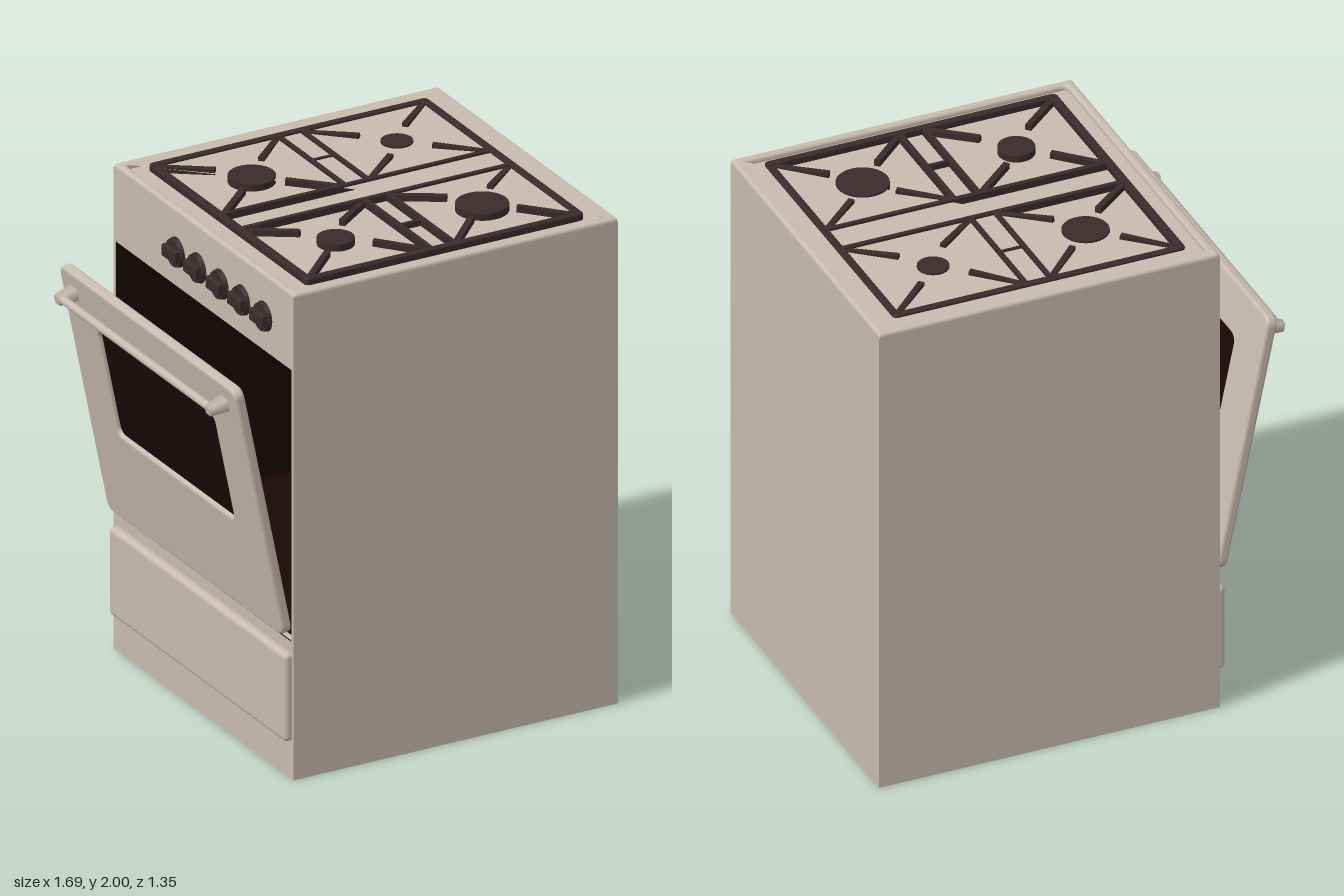
import * as THREE from 'three';
import { RoundedBoxGeometry } from 'three/addons/geometries/RoundedBoxGeometry.js';

const mat = (name, color) => {
  const m = new THREE.MeshStandardMaterial({ color });
  m.name = name;
  return m;
};

// Rounded rectangle centred on (cx, cy)
function roundRect(w, h, r, cx = 0, cy = 0, Type = THREE.Shape) {
  const s = new Type(), x = w / 2 - r, y = h / 2 - r;
  s.absarc(cx + x, cy + y, r, 0, Math.PI / 2);
  s.absarc(cx - x, cy + y, r, Math.PI / 2, Math.PI);
  s.absarc(cx - x, cy - y, r, Math.PI, Math.PI * 1.5);
  s.absarc(cx + x, cy - y, r, Math.PI * 1.5, Math.PI * 2);
  s.closePath();
  return s;
}

// Rounded plate of the given total thickness; the bevel stays inside the outline
function plate(shape, thick, bevel) {
  return new THREE.ExtrudeGeometry(shape, {
    depth: thick - 2 * bevel, bevelThickness: bevel, bevelSize: bevel,
    bevelOffset: -bevel, bevelSegments: 3, curveSegments: 6,
  }).translate(0, 0, bevel);
}

export function createModel() {
  const enamel = mat('beige enamel', 0xc8bbaf);
  const iron = mat('dark brown iron', 0x3a2a2c);
  const black = mat('oven black', 0x190707);
  const blackInside = mat('oven lining', 0x190707);
  blackInside.side = THREE.BackSide;

  const root = new THREE.Group();
  root.name = 'stove';
  const add = (parent, name, geo, m) => {
    const mesh = new THREE.Mesh(geo, m);
    mesh.name = name;
    parent.add(mesh);
    return mesh;
  };
  // Box given by its minimum and maximum corners
  const box = (parent, name, m, x0, x1, y0, y1, z0, z1) => {
    const b = add(parent, name, new THREE.BoxGeometry(x1 - x0, y1 - y0, z1 - z0), m);
    b.position.set((x0 + x1) / 2, (y0 + y1) / 2, (z0 + z1) / 2);
    return b;
  };

  // Cabinet, open towards -x at the oven
  const X0 = -0.54, X1 = 0.847, Z = 0.675, T = 0.015;
  const zi = Z - T;
  const cabinet = new THREE.Group();
  cabinet.name = 'cabinet';
  root.add(cabinet);
  for (const s of [-1, 1])
    box(cabinet, 'sidePanel', enamel, X0, X1, 0, 1.97, Math.min(s * zi, s * Z), Math.max(s * zi, s * Z));
  box(cabinet, 'backPanel', enamel, X1 - T, X1, 0, 1.97, -zi, zi);
  box(cabinet, 'controlPanel', enamel, X0, X0 + 0.03, 1.67, 1.97, -zi, zi);
  box(cabinet, 'lowerPanel', enamel, X0, X0 + 0.03, 0, 0.56, -zi, zi);
  box(cabinet, 'bottomPanel', enamel, X0 + 0.03, X1 - T, 0, T, -zi, zi);

  // Oven cavity: an inward-facing box without its front
  const cavity = new THREE.BoxGeometry(0.95, 1.11, 2 * zi - 0.002);
  cavity.setIndex(Array.from(cavity.index.array).filter((_, i) => i < 6 || i >= 12));
  cavity.clearGroups();
  add(cabinet, 'ovenCavity', cavity, blackInside).position.set(X0 + 0.475, 1.115, 0);

  // Cooktop rim and sunken tray
  const cx = (X0 + X1) / 2;
  const rim = roundRect(X1 - X0, 2 * Z, 0.012, cx);
  rim.holes.push(roundRect(X1 - X0 - 0.07, 2 * Z - 0.07, 0.02, cx, 0, THREE.Path));
  add(root, 'cooktopRim', plate(rim, 0.04, 0.012).rotateX(-Math.PI / 2), enamel).position.y = 1.943;
  box(root, 'cooktopTray', enamel, X0 + 0.01, X1 - 0.01, 1.94, 1.962, -Z + 0.01, Z - 0.01);

  // Pan supports
  const grate = new THREE.Group();
  grate.name = 'panSupports';
  root.add(grate);
  const gx = 0.155, gTop = 1.992, gLow = 1.964;
  const frame = roundRect(1.19, 1.19, 0.02, gx);
  frame.holes.push(roundRect(1.13, 1.13, 0.006, gx, 0, THREE.Path));
  add(grate, 'grateFrame', plate(frame, gTop - gLow, 0.004).rotateX(-Math.PI / 2), iron).position.y = gLow;
  for (const s of [-1, 1]) {
    const zc = s * 0.0725, zo = s * 0.57, [za, zb] = s < 0 ? [zo, zc] : [zc, zo];
    box(grate, 'grateLongBar', iron, gx - 0.57, gx + 0.57, gLow, gTop, zc - 0.01, zc + 0.01);
    for (const t of [-1, 1])
      box(grate, 'grateShortBar', iron, gx + t * 0.05 - 0.01, gx + t * 0.05 + 0.01, gLow, gTop, za, zb);
    box(grate, 'grateCrossBar', iron, gx - 0.04, gx + 0.04, gLow, gTop - 0.004, s * 0.33 - 0.007, s * 0.33 + 0.007);
    // Fingers run from each cell corner towards the burner, rising to the tip
    for (const t of [-1, 1])
      for (const [a, b, c, d] of [
        [0.565, 0.565, 0.405, 0.42], [0.06, 0.565, 0.21, 0.42],
        [0.565, 0.08, 0.405, 0.215], [0.06, 0.08, 0.225, 0.212],
      ]) {
        const p = new THREE.Vector3(gx + t * a, 1.975, s * b);
        const q = new THREE.Vector3(gx + t * c, 1.987, s * d);
        const finger = add(grate, 'grateFinger', new THREE.BoxGeometry(0.024, 0.024, p.distanceTo(q)), iron);
        finger.position.copy(p).lerp(q, 0.5);
        finger.lookAt(q);
      }
  }

  // Burners
  for (const [x, z, r] of [[-0.152, -0.32, 0.09], [0.468, -0.32, 0.061], [-0.155, 0.315, 0.071], [0.468, 0.32, 0.101]])
    add(root, 'burner', new THREE.CylinderGeometry(r, r, 0.03, 32), iron).position.set(x, 1.975, z);

  // Control knobs
  [-0.2, -0.04, 0.128, 0.29, 0.455].forEach((z) => {
    const knob = new THREE.Group();
    knob.name = 'knob';
    knob.position.set(X0, 1.81, z);
    root.add(knob);
    add(knob, 'knobBase', new THREE.CylinderGeometry(0.055, 0.06, 0.018, 24).rotateZ(Math.PI / 2), iron).position.x = -0.009;
    add(knob, 'knobGrip', new RoundedBoxGeometry(0.035, 0.05, 0.1, 2, 0.006), iron).position.x = -0.022;
  });

  // Drawer front
  add(root, 'drawerFront', new RoundedBoxGeometry(0.07, 0.36, 1.325, 3, 0.02), enamel).position.set(-0.536, 0.333, 0);

  // Oven door, hinged at the bottom and ajar
  const door = new THREE.Group();
  door.name = 'ovenDoor';
  door.position.set(-0.53, 0.592, -0.004);
  door.rotation.z = 0.2;
  root.add(door);
  const panel = roundRect(1.32, 1.07, 0.04, 0, 0.535);
  panel.holes.push(roundRect(0.87, 0.45, 0.03, 0, 0.645, THREE.Path));
  add(door, 'doorPanel', plate(panel, 0.043, 0.012).rotateY(-Math.PI / 2), enamel);
  box(door, 'doorWindow', black, -0.026, -0.017, 0.4, 0.89, -0.455, 0.455);

  // Handle with tapered brackets
  for (const s of [-1, 1]) {
    const bracket = new THREE.CylinderGeometry(0.024, 0.036, 0.08, 4, 1).rotateY(Math.PI / 4).rotateZ(Math.PI / 2);
    add(door, 'handleBracket', bracket, enamel).position.set(-0.08, 0.985, s * 0.565);
  }
  add(door, 'handleBar', new THREE.CylinderGeometry(0.017, 0.017, 1.13, 16).rotateX(Math.PI / 2), enamel)
    .position.set(-0.1, 0.985, 0);

  return root;
}
